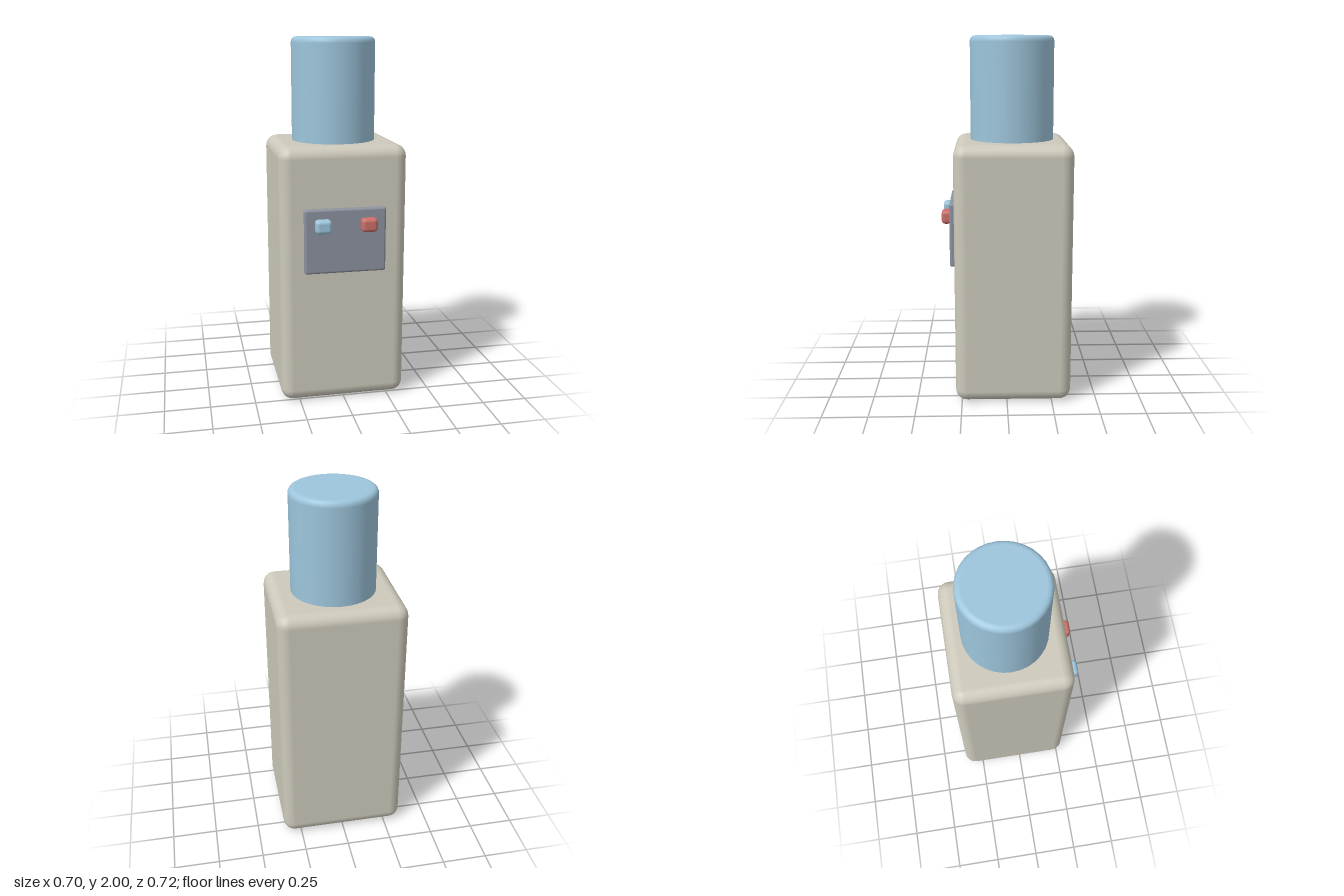
import * as THREE from 'three';
import { RoundedBoxGeometry } from 'three/addons/geometries/RoundedBoxGeometry.js';

const paint = (name, color) => {
  const m = new THREE.MeshStandardMaterial({ color });
  m.name = name;
  return m;
};

export function createModel() {
  const group = new THREE.Group();
  group.name = 'waterDispenser';
  const beige = paint('warm beige', 0xcdc9bb);
  const blue = paint('light blue', 0x9dc5dc);
  const grey = paint('slate grey', 0x8d929f);
  const red = paint('red', 0xcb6f69);

  const add = (name, geometry, material, x, y, z) => {
    const mesh = new THREE.Mesh(geometry, material);
    mesh.name = name;
    mesh.position.set(x, y, z);
    group.add(mesh);
  };

  // Cabinet
  add('cabinet', new RoundedBoxGeometry(0.7, 1.435, 0.643, 3, 0.065), beige, 0, 0.7175, -0.0365);

  // Upright bottle: straight wall, rounded rim, flat top
  const radius = 0.232, top = 2, bevel = 0.028, base = 1.4;
  const profile = [
    new THREE.Vector2(0, base),
    new THREE.Vector2(radius, base),
    new THREE.Vector2(radius, base + 0.005),
    new THREE.Vector2(radius, top - bevel - 0.005),
  ];
  for (let i = 0; i <= 4; i++) {
    const a = (i / 4) * Math.PI / 2;
    profile.push(new THREE.Vector2(radius - bevel + bevel * Math.cos(a), top - bevel + bevel * Math.sin(a)));
  }
  profile.push(new THREE.Vector2(radius - bevel - 0.005, top), new THREE.Vector2(0, top));
  add('bottle', new THREE.LatheGeometry(profile, 32), blue, 0, 0, -0.037);

  // Control panel, set slightly into the cabinet front
  add('controlPanel', new RoundedBoxGeometry(0.448, 0.356, 0.054, 3, 0.013), grey, 0, 0.928, 0.285);

  // Cold and hot buttons
  for (const [name, side, material] of [['coldButton', -1, blue], ['hotButton', 1, red]]) {
    add(name, new RoundedBoxGeometry(0.088, 0.075, 0.09, 3, 0.02), material, side * 0.125, 1.017, 0.312);
  }
  return group;
}
